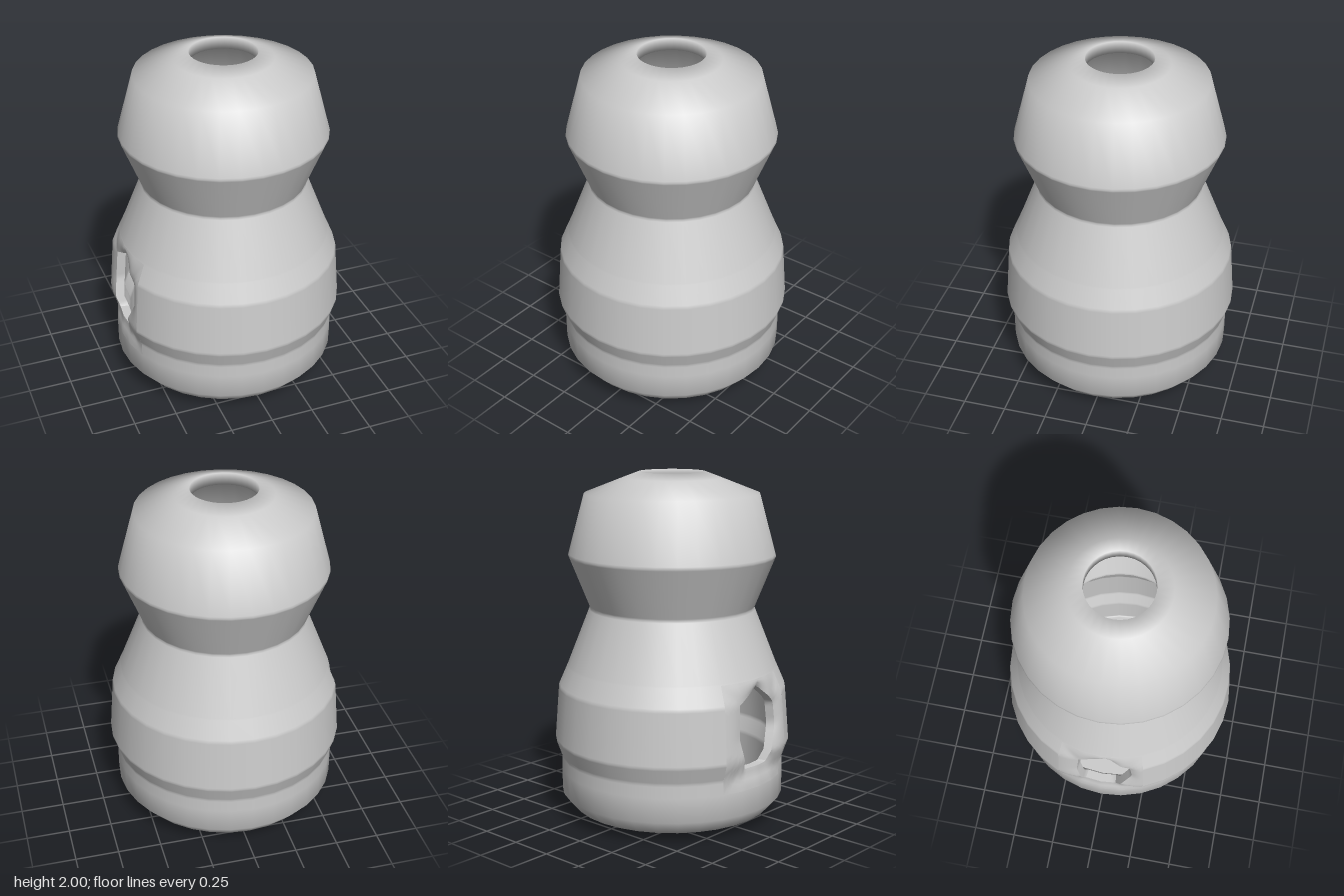
import * as THREE from 'three';
import { toCreasedNormals } from 'three/addons/utils/BufferGeometryUtils.js';

const SIDES = 32, STEP = (Math.PI * 2) / SIDES;
const WALL = 0.08;                 // shell thickness
const LOW = 0.28, HIGH = 0.89;     // height range of the band that holds the side opening
const HALF = 2 * STEP;             // half width of that window, as an angle
const MID = Math.PI * 1.5;         // the opening faces -x

// Outer outline [radius, height, sharp edge?]
const OUTER = [
  [0, 0], [0.135, 0], [0.58, 0.058], [0.65, 0.14], [0.65, 0.36, 1], [0.685, 0.46, 1],
  [0.66, 0.775, 1], [0.605, 0.9], [0.475, 1.23, 1], [0.595, 1.53, 1], [0.5, 1.88],
  [0.28, 1.966], [0.19, 2],
];
// Inner outline, from the neck down to the floor
const INNER = [
  [0.19, 1.93], [0.43, 1.84], [0.515, 1.53, 1], [0.395, 1.23, 1], [0.525, 0.9], [0.58, 0.775, 1],
  [0.605, 0.46, 1], [0.57, 0.36, 1], [0.57, 0.14, 1], [0, 0.14],
];

// Outer radius at a height
function radiusAt(y) {
  const i = OUTER.findIndex((p) => p[1] >= y);
  const [a, b] = [OUTER[i - 1], OUTER[i]];
  return a[0] + ((b[0] - a[0]) * (y - a[1])) / (b[1] - a[1]);
}

// Lathe an outline, adding points close to each sharp edge to keep it crisp
function turn(outline, start = 0, sides = SIDES) {
  const points = [];
  outline.forEach(([r, y, sharp], i) => {
    const p = new THREE.Vector2(r, y);
    const near = (q) => p.clone().add(new THREE.Vector2(q[0], q[1]).sub(p).setLength(0.012));
    if (sharp) points.push(near(outline[i - 1]), p, near(outline[i + 1]));
    else points.push(p);
  });
  return new THREE.LatheGeometry(points, sides, start, sides * STEP);
}

// Surround of the side opening: outer skin, thickness of the wall, inner skin
function openingGeometry() {
  const hole = [[17, 0.6], [16, 0.73], [3, 0.85], [-12, 0.77], [-13, 0.58], [-9, 0.4], [8, 0.4]]
    .map(([deg, y]) => [THREE.MathUtils.degToRad(deg), y]);
  const cy = (LOW + HIGH) / 2, hh = (HIGH - LOW) / 2;
  const count = 64, steps = 6;

  // Where a ray from the middle of the window meets the polygon of the hole
  function holePoint(u, v) {
    for (let i = 0; i < hole.length; i++) {
      const a = hole[i], b = hole[(i + 1) % hole.length];
      const ax = a[0] / HALF, ay = (a[1] - cy) / hh;
      const ex = b[0] / HALF - ax, ey = (b[1] - cy) / hh - ay;
      const det = u * ey - v * ex;
      const t = (ax * ey - ay * ex) / det, s = (ax * v - ay * u) / det;
      if (t > 0 && s >= -1e-6 && s <= 1 + 1e-6) return [u * t, v * t];
    }
    return [u * 0.5, v * 0.5];
  }

  const positions = [], index = [];
  function ring(t, depth) {
    for (let k = 0; k < count; k++) {
      const side = Math.floor(k / 16), f = ((k % 16) / 16) * 2 - 1;
      const [u, v] = [[1, f], [-f, 1], [-1, -f], [f, -1]][side];
      const h = holePoint(u, v);
      const d = THREE.MathUtils.lerp(u, h[0], t) * HALF;
      const y = cy + THREE.MathUtils.lerp(v, h[1], t) * hh;
      // follow the flat sides of the turned body
      const local = ((d % STEP) + STEP) % STEP - STEP / 2;
      const r = ((radiusAt(y) - depth) * Math.cos(STEP / 2)) / Math.cos(local);
      positions.push(r * Math.sin(MID + d), y, r * Math.cos(MID + d));
    }
  }
  for (let i = 0; i <= steps; i++) ring(i / steps, 0.03 * (i / steps) ** 2);
  for (let i = steps; i >= 0; i--) ring(i / steps, WALL);
  for (let j = 0; j < steps * 2 + 1; j++) {
    for (let k = 0; k < count; k++) {
      const a = j * count + k, b = j * count + ((k + 1) % count);
      index.push(a, b, a + count, b, b + count, a + count);
    }
  }
  const g = new THREE.BufferGeometry();
  g.setAttribute('position', new THREE.Float32BufferAttribute(positions, 3));
  g.setIndex(index);
  return toCreasedNormals(g, 0.6);
}

export function createModel() {
  const group = new THREE.Group();
  group.name = 'hollowTurnedBody';
  const material = new THREE.MeshStandardMaterial({ color: 0xcccccc, side: THREE.DoubleSide });
  const add = (name, geometry) => {
    const mesh = new THREE.Mesh(geometry, material);
    mesh.name = name;
    group.add(mesh);
  };

  const cut = (y, depth = 0) => [radiusAt(y) - depth, y];
  const below = (p) => p[1] < LOW, above = (p) => p[1] > HIGH;
  const within = (p) => !below(p) && !above(p);

  // Base and floor
  add('base', turn([...OUTER.filter(below), cut(LOW)]));
  add('innerFloor', turn([cut(LOW, WALL), ...INNER.filter(below)]));

  // Waist, shoulder and neck, running over the lip into the inside
  add('upperShell', turn([cut(HIGH), ...OUTER.filter(above), ...INNER.filter(above), cut(HIGH, WALL)]));

  // Wide belly band, left open at the window
  const start = MID + HALF, sides = SIDES - 4;
  add('bellyOutside', turn([cut(LOW), ...OUTER.filter(within), cut(HIGH)], start, sides));
  add('bellyInside', turn([cut(HIGH, WALL), ...INNER.filter(within), cut(LOW, WALL)], start, sides));

  // Ragged opening in the side
  add('sideOpening', openingGeometry());

  group.position.x = -0.016;
  return group;
}
